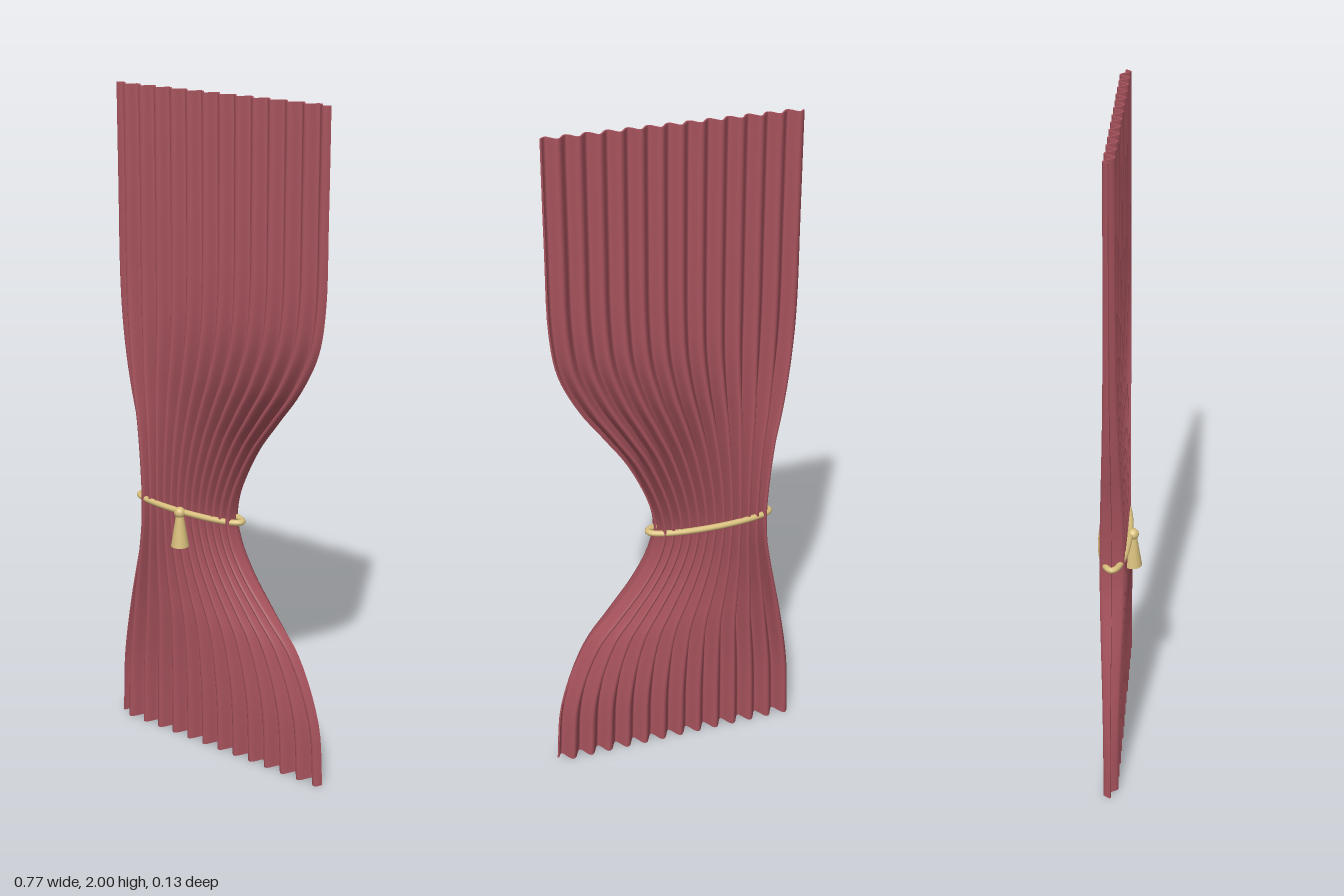
import * as THREE from 'three';

const FOLDS = 13;
const HALF_THICK = 0.0025;
const CENTRE_Z = -0.015;
const TIE_Y = 0.768;

// Outline of the cloth: (left edge x, height, right edge x)
const outline = new THREE.CatmullRomCurve3([
  [-0.384, 0, 0.381], [-0.375, 0.2, 0.363], [-0.345, 0.4, 0.287], [-0.325, 0.5, 0.208],
  [-0.304, 0.6, 0.128], [-0.289, 0.69, 0.077], [-0.285, 0.77, 0.058], [-0.29, 0.86, 0.075],
  [-0.308, 1.0, 0.138], [-0.329, 1.1, 0.207], [-0.346, 1.2, 0.278], [-0.359, 1.32, 0.336],
  [-0.365, 1.45, 0.357], [-0.365, 1.7, 0.36], [-0.365, 2, 0.36],
].map(p => new THREE.Vector3(...p)));

// Point on the pleated cloth; side is +1 for the front face, -1 for the back
function clothPoint(u, v, side) {
  const { x: left, y, z: right } = outline.getPoint(v);
  const width = right - left;
  const gather = Math.exp(-0.5 * ((y - TIE_Y) / 0.28) ** 2);
  const depth = 0.019 - 0.003 * y + 0.018 * gather;
  const k = FOLDS * Math.PI * 2;
  const slope = -depth * k * Math.cos(k * u) / width;
  const offset = side * HALF_THICK / Math.hypot(slope, 1);
  return [
    left + width * u - slope * offset,
    y,
    CENTRE_Z - depth * Math.sin(k * u) + offset,
  ];
}

// Smooth surface from a rule point(a, b), with a and b from 0 to 1
function surface(point, na, nb, flip = false) {
  const positions = [], index = [];
  for (let j = 0; j <= nb; j++) {
    for (let i = 0; i <= na; i++) positions.push(...point(i / na, j / nb));
  }
  for (let j = 0; j < nb; j++) {
    for (let i = 0; i < na; i++) {
      const p = j * (na + 1) + i, q = p + na + 1;
      if (flip) index.push(p, q, p + 1, p + 1, q, q + 1);
      else index.push(p, p + 1, q, p + 1, q + 1, q);
    }
  }
  const geometry = new THREE.BufferGeometry();
  geometry.setAttribute('position', new THREE.Float32BufferAttribute(positions, 3));
  geometry.setIndex(index);
  geometry.computeVertexNormals();
  return geometry;
}

export function createModel() {
  const model = new THREE.Group();
  model.name = 'tiedCurtain';
  const cloth = new THREE.MeshStandardMaterial({ color: 0xa8535d, side: THREE.DoubleSide });
  const gold = new THREE.MeshStandardMaterial({ color: 0xd8bf7c });

  const add = (parent, name, geometry, material, x = 0, y = 0, z = 0) => {
    const mesh = new THREE.Mesh(geometry, material);
    mesh.name = name;
    mesh.position.set(x, y, z);
    parent.add(mesh);
    return mesh;
  };

  // Pleated cloth: two faces joined by thin hems
  const curtain = new THREE.Group();
  curtain.name = 'curtain';
  model.add(curtain);
  const columns = FOLDS * 14, rows = 70;
  add(curtain, 'clothFront', surface((a, b) => clothPoint(a, b, 1), columns, rows), cloth);
  add(curtain, 'clothBack', surface((a, b) => clothPoint(a, b, -1), columns, rows, true), cloth);
  add(curtain, 'topHem', surface((a, b) => clothPoint(a, 1, 1 - 2 * b), columns, 1), cloth);
  add(curtain, 'bottomHem', surface((a, b) => clothPoint(a, 0, 1 - 2 * b), columns, 1, true), cloth);
  add(curtain, 'leftHem', surface((a, b) => clothPoint(1, b, 1 - 2 * a), 1, rows), cloth);
  add(curtain, 'rightHem', surface((a, b) => clothPoint(0, b, 1 - 2 * a), 1, rows, true), cloth);

  // Oval cord around the waist
  const tie = new THREE.Group();
  tie.name = 'tieback';
  tie.position.set(-0.11, TIE_Y, CENTRE_Z);
  model.add(tie);
  const loop = [];
  for (let i = 0; i < 32; i++) {
    const a = i / 32 * Math.PI * 2;
    loop.push(new THREE.Vector3(0.192 * Math.cos(a), 0, 0.041 * Math.sin(a)));
  }
  const path = new THREE.CatmullRomCurve3(loop, true);
  add(tie, 'cord', new THREE.TubeGeometry(path, 120, 0.009, 12, true), gold);

  // Tassel hanging at the front: knot and flared skirt
  const tassel = new THREE.Group();
  tassel.name = 'tassel';
  tassel.position.z = 0.05;
  tie.add(tassel);
  add(tassel, 'tasselKnot', new THREE.SphereGeometry(0.017, 20, 14), gold);
  add(tassel, 'tasselSkirt', new THREE.CylinderGeometry(0.012, 0.027, 0.094, 24), gold, 0, -0.059, 0);

  return model;
}
